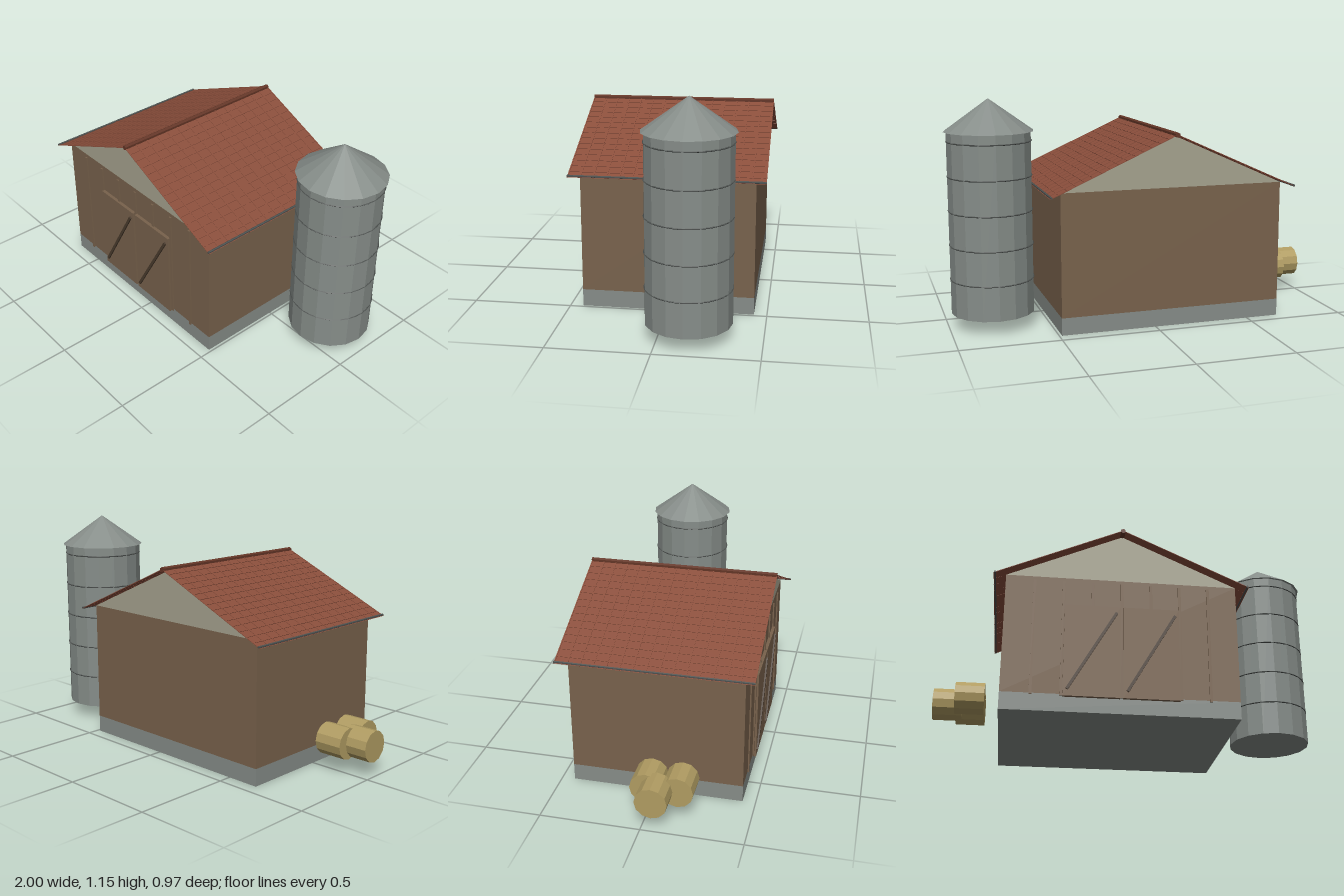
import * as THREE from 'three';

const mat = (name, color, extra = {}) => {
  const m = new THREE.MeshStandardMaterial({ color, flatShading: true, ...extra });
  m.name = name;
  return m;
};

export function createModel() {
  const group = new THREE.Group();
  const wood = mat('wall wood', 0x78624c);
  const darkWood = mat('dark wood', 0x4a3b2d);
  const stone = mat('foundation stone', 0x868c88);
  const cream = mat('gable cream', 0xa5a28e);
  const roofRed = mat('roof red', 0x8a4e3b, { side: THREE.DoubleSide });
  const ridgeBrown = mat('ridge brown', 0x633526);
  const steel = mat('silo steel', 0x868d89);
  const iron = mat('dark iron', 0x4c504e);
  const straw = mat('straw', 0xb09c62);

  const add = (name, geometry, material, x = 0, y = 0, z = 0, parent = group) => {
    const mesh = new THREE.Mesh(geometry, material);
    mesh.name = name;
    mesh.position.set(x, y, z);
    parent.add(mesh);
    return mesh;
  };
  const box = (w, h, d) => new THREE.BoxGeometry(w, h, d);

  // Barn body, centred a little left of the middle
  const barn = new THREE.Group();
  barn.name = 'barn';
  barn.position.x = -0.092;
  group.add(barn);
  const width = 1.156, depth = 0.87;
  add('foundation', box(width, 0.088, depth), stone, 0, 0.044, 0, barn);
  add('walls', box(width, 0.622, depth), wood, 0, 0.399, 0, barn);

  // Gable prism, front and back
  const triangle = new THREE.Shape();
  triangle.moveTo(-width / 2, 0.71);
  triangle.lineTo(width / 2, 0.71);
  triangle.lineTo(0, 0.968);
  triangle.closePath();
  add('gable', new THREE.ExtrudeGeometry(triangle, { depth, bevelEnabled: false }),
    cream, 0, 0, -depth / 2, barn);

  // Vertical battens on the front wall
  for (let i = -3; i <= 3; i++) {
    add('batten', box(0.014, 0.61, 0.008), wood, i * width / 8, 0.385, depth / 2 + 0.003, barn);
  }

  // Pair of doors with diagonal braces
  for (const s of [-1, 1]) {
    const door = new THREE.Group();
    door.name = 'door';
    door.position.set(s * 0.145, 0.315, depth / 2);
    barn.add(door);
    add('doorPanel', box(0.275, 0.48, 0.018), wood, 0, 0, 0.008, door);
    const brace = add('doorBrace', box(0.014, 0.475, 0.009), darkWood, 0, 0, 0.021, door);
    brace.rotation.z = -Math.atan2(0.235, 0.41);
  }

  // Thin roof slopes with raised courses and seams, plus gutters
  const run = 0.638, rise = 0.285, roofDepth = 0.972;
  const slopeLength = Math.hypot(run, rise);
  for (const s of [-1, 1]) {
    const slope = new THREE.Group();
    slope.name = 'roofSlope';
    slope.position.y = 0.976;
    slope.rotation.z = -s * Math.atan2(rise, run);
    barn.add(slope);
    const sheet = new THREE.PlaneGeometry(slopeLength, roofDepth).rotateX(-Math.PI / 2);
    add('roofSheet', sheet, roofRed, s * slopeLength / 2, 0, 0, slope);
    for (let i = 1; i <= 14; i++) {
      add('tileCourse', box(0.006, 0.003, roofDepth), roofRed, s * i * slopeLength / 15, 0.001, 0, slope);
    }
    for (let i = 0; i <= 15; i++) {
      add('tileSeam', box(slopeLength, 0.003, 0.005), roofRed,
        s * slopeLength / 2, 0.001, (i / 15 - 0.5) * (roofDepth - 0.006), slope);
    }
    const gutter = new THREE.CylinderGeometry(0.006, 0.006, roofDepth, 6).rotateX(Math.PI / 2);
    add('gutter', gutter, iron, s * 0.632, 0.697, 0, barn);
  }
  const ridge = new THREE.CylinderGeometry(0.013, 0.013, roofDepth, 6).rotateX(Math.PI / 2);
  add('ridgePole', ridge, ridgeBrown, 0, 0.976, 0, barn);

  // Silo with iron hoops and conical cap
  const silo = new THREE.Group();
  silo.name = 'silo';
  silo.position.set(0.776, 0, -0.145);
  group.add(silo);
  add('siloWall', new THREE.CylinderGeometry(0.21, 0.21, 0.915, 16), steel, 0, 0.5325, 0, silo);
  add('siloCap', new THREE.ConeGeometry(0.223, 0.16, 16), steel, 0, 1.07, 0, silo);
  for (let i = 0; i < 5; i++) {
    const hoop = new THREE.TorusGeometry(0.2085, 0.0035, 4, 32).rotateX(Math.PI / 2);
    add('siloHoop', hoop, iron, 0, 0.25 + i * 0.173, 0, silo);
  }

  // Round straw bales lying beside the barn
  for (const [x, z] of [[-0.928, 0.053], [-0.816, 0], [-0.816, 0.153]]) {
    const bale = new THREE.CylinderGeometry(0.08, 0.08, 0.144, 12).rotateZ(Math.PI / 2);
    add('strawBale', bale, straw, x, 0.155, z);
  }
  return group;
}
